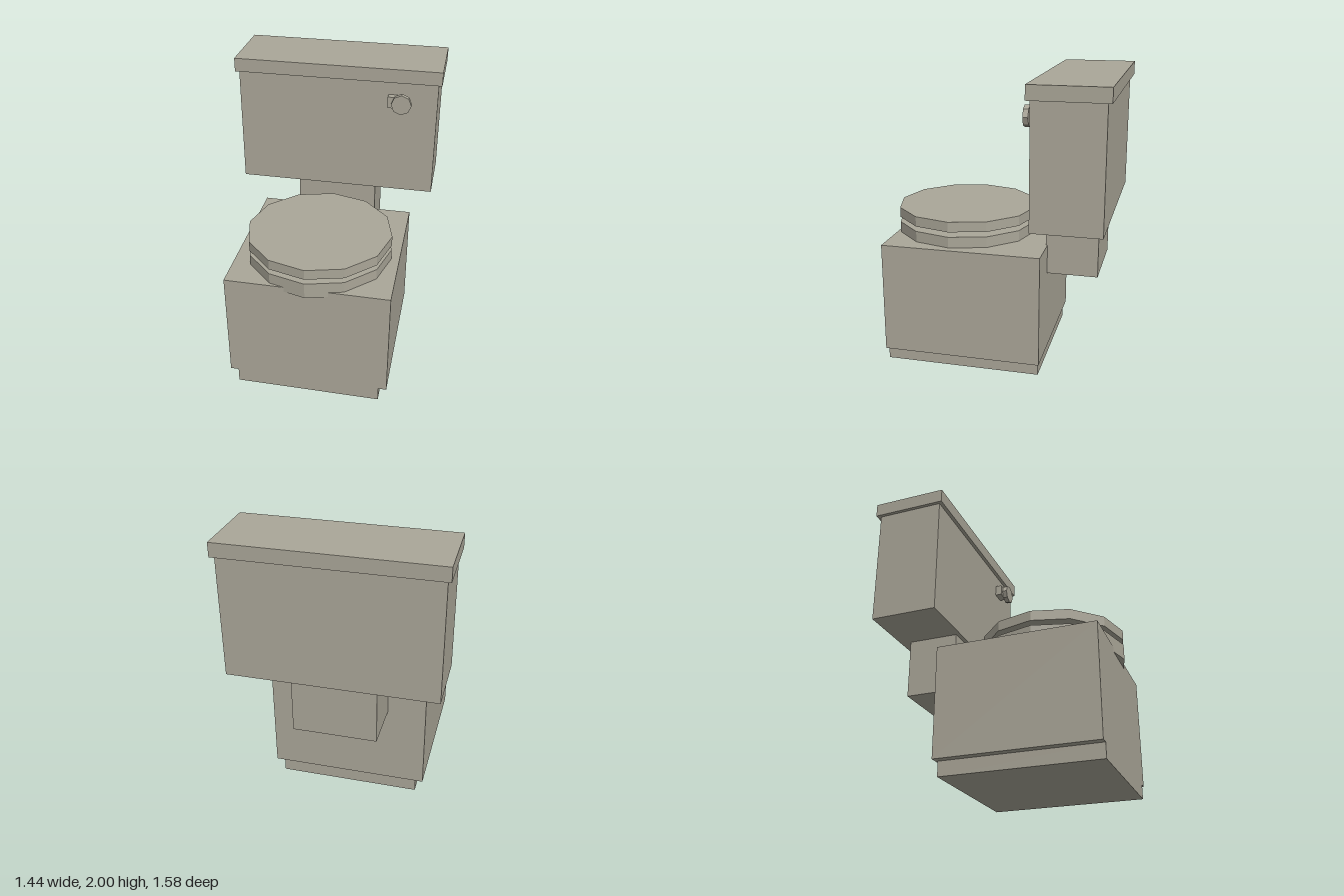
import * as THREE from 'three';

export function createModel() {
  const group = new THREE.Group();
  const ceramic = new THREE.MeshStandardMaterial({ color: 0xaaa698, flatShading: true });
  ceramic.name = 'warm grey ceramic';

  const add = (name, geometry) => {
    const mesh = new THREE.Mesh(geometry, ceramic);
    mesh.name = name;
    group.add(mesh);
    return mesh;
  };

  // Box spanning a range on each axis
  const box = (name, [x0, x1], [y0, y1], [z0, z1]) =>
    add(name, new THREE.BoxGeometry(x1 - x0, y1 - y0, z1 - z0))
      .position.set((x0 + x1) / 2, (y0 + y1) / 2, (z0 + z1) / 2);

  // Upright twelve-sided disc
  const disc = (name, radius, [y0, y1], z) =>
    add(name, new THREE.CylinderGeometry(radius, radius, y1 - y0, 12))
      .position.set(0, (y0 + y1) / 2, z);

  // Pedestal and bowl
  box('foot', [-0.495, 0.495], [0, 0.1], [-0.325, 0.75]);
  box('bowl', [-0.55, 0.55], [0.1, 0.865], [-0.34, 0.75]);

  // Seat, water disc and lid
  disc('seat', 0.494, [0.83, 0.94], 0.295);
  disc('water', 0.335, [0.946, 0.952], 0.325);
  disc('seatLid', 0.494, [0.975, 1.045], 0.295);

  // Tank and the neck carrying it
  box('neck', [-0.285, 0.285], [0.665, 1.08], [-0.685, -0.33]);
  box('tank', [-0.697, 0.697], [1.08, 1.905], [-0.76, -0.298]);
  box('tankLid', [-0.72, 0.72], [1.905, 2], [-0.787, -0.273]);

  // Flush handle
  box('handleStem', [0.36, 0.46], [1.73, 1.81], [-0.3, -0.25]);
  const knob = add('handleKnob', new THREE.CylinderGeometry(0.07, 0.07, 0.035, 8));
  knob.rotation.x = Math.PI / 2;
  knob.position.set(0.457, 1.77, -0.233);

  return group;
}
